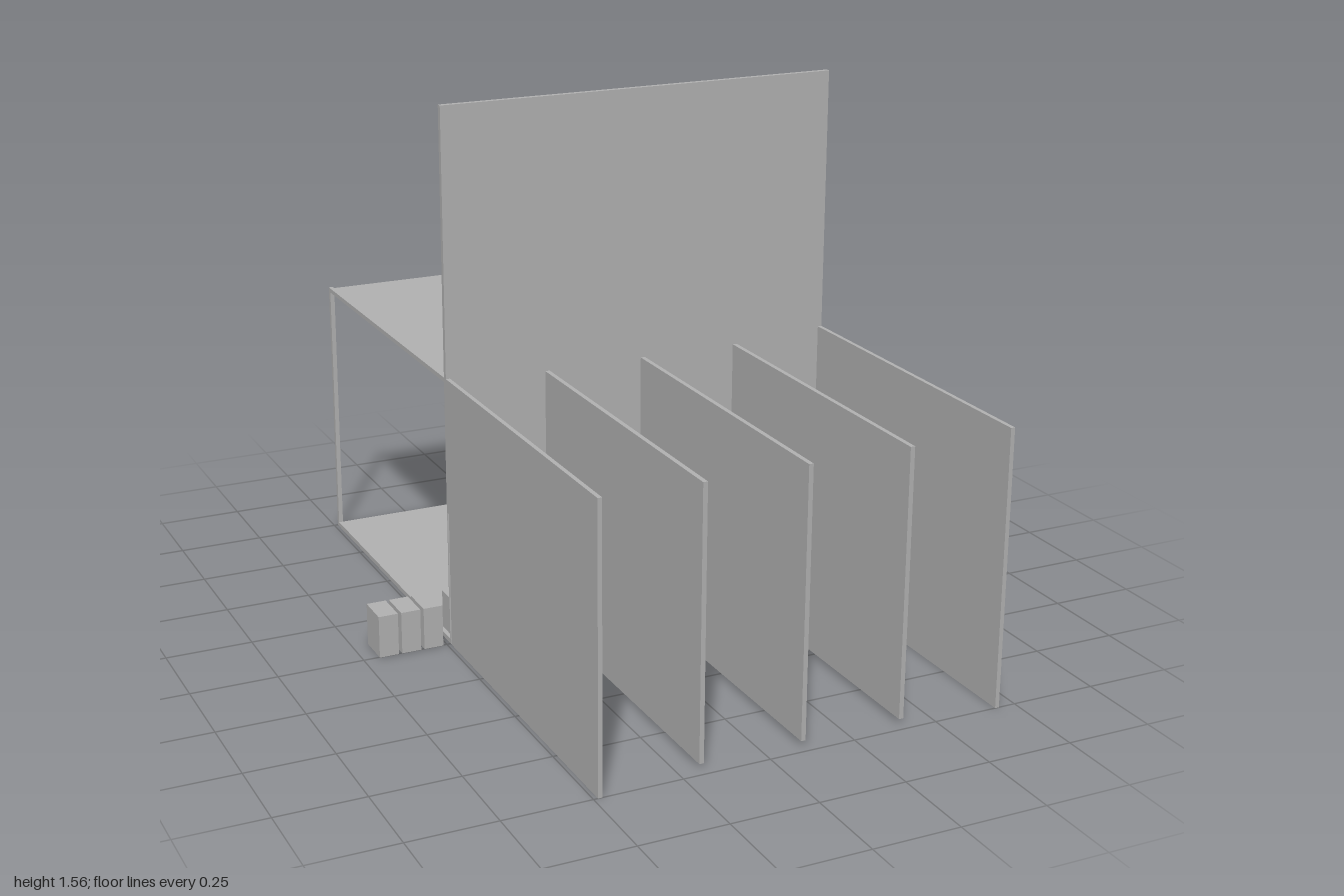
import * as THREE from 'three';

export function createModel() {
  const model = new THREE.Group();
  model.name = 'stallBuilding';
  const grey = new THREE.MeshStandardMaterial({ color: 0xb2b2b2 });
  grey.name = 'plain grey';

  // Box given by its minimum and maximum on each axis
  function box(name, [x0, x1], [y0, y1], [z0, z1], parent = model) {
    const mesh = new THREE.Mesh(new THREE.BoxGeometry(x1 - x0, y1 - y0, z1 - z0), grey);
    mesh.position.set((x0 + x1) / 2, (y0 + y1) / 2, (z0 + z1) / 2);
    mesh.name = name;
    parent.add(mesh);
    return mesh;
  }
  function group(name) {
    const g = new THREE.Group();
    g.name = name;
    model.add(g);
    return g;
  }

  const L = -0.488, R = 0.70;

  // Floor and roof slabs
  box('floor', [L, R], [0, 0.014], [-0.986, 0.004]);
  box('roof', [L, R], [0.785, 0.798], [-0.986, -0.002]);

  // Rear corner posts
  const posts = group('rearPosts');
  for (const x of [L, R - 0.013]) box('rearPost', [x, x + 0.013], [0, 0.798], [-1, -0.986], posts);

  // Tall upper wall and the thin lower wall behind it
  box('upperWall', [L, R], [0.4, 1.56], [-0.007, 0.008]);
  box('lowerWall', [L, R], [0.014, 0.785], [-0.006, -0.002]);

  // Long rail plate on the back of the wall
  box('wallRail', [L + 0.01, R - 0.01], [0.29, 0.485], [-0.021, -0.014]);

  // Outer side walls and inner dividers
  const walls = group('dividerWalls');
  for (const x of [L, R - 0.012]) box('sideWall', [x, x + 0.012], [0, 0.798], [0.008, 1], walls);
  for (const x of [-0.19, 0.107, 0.404]) box('divider', [x, x + 0.013], [0.014, 0.78], [0, 0.97], walls);

  // Row of small blocks through the roof, in uneven clusters
  const row = group('smallBlocks');
  for (const [start, count, pitch] of [[-0.15, 1, 0], [-0.124, 1, 0], [-0.107, 1, 0],
    [-0.065, 6, 0.0305], [0.13, 3, 0.032], [0.241, 4, 0.0305]]) {
    for (let i = 0; i < count; i++) {
      const x = start + i * pitch;
      const w = start === -0.124 ? 0.013 : 0.023;
      box('smallBlock', [x, x + w], [0.69, 0.81], [-0.06, -0.014], row);
    }
  }

  // Crates along the lower corner, two indoors and three outdoors
  const crates = group('crates');
  for (const x of [-0.705, -0.638, -0.571, -0.476, -0.409]) {
    const bottom = x > L ? 0.014 : 0.003;
    box('crate', [x, x + 0.057], [bottom, 0.127], [-0.092, 0.009], crates);
  }

  // Bar and upright box above the roof
  box('roofBar', [-0.092, 0.302], [0.843, 0.85], [-0.51, -0.47]);
  box('roofBox', [0.253, 0.312], [0.848, 0.972], [-0.588, -0.493]);

  return model;
}
